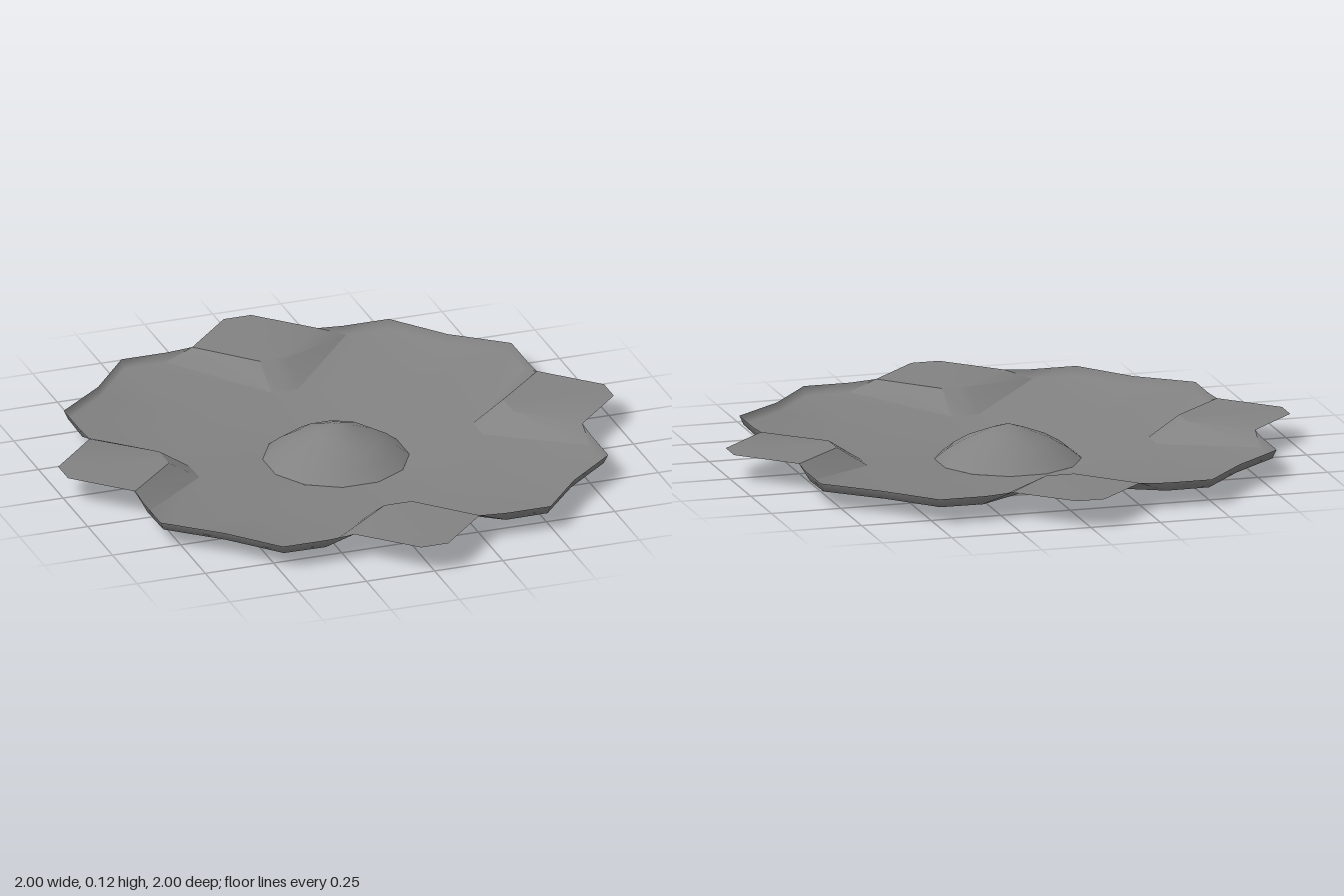
import * as THREE from 'three';
import { mergeGeometries, mergeVertices, toCreasedNormals } from 'three/addons/utils/BufferGeometryUtils.js';

const material = new THREE.MeshStandardMaterial({ color: 0x828282, side: THREE.DoubleSide });

// Key points of one eighth of the plate, from the +z axis to the diagonal
const P = {
  hub0: [0, 0, 0.245], hub1: [0.065, 0, 0.245], hub2: [0.18, 0, 0.18],
  foot0: [0, 0.025, 0.52], foot1: [0.05, 0.025, 0.52], foot2: [0.33, 0.06, 0.81],
  mid: [0.42, 0.025, 0.42],
  corner: [0.483, 0.06, 0.807], notch: [0.632, 0.058, 0.632],
  footTop: [0.325, 0.091, 0.82], cornerTop: [0.49, 0.091, 0.82], notchTop: [0.64, 0.088, 0.64],
  tab0: [0, 0.097, 0.63], tab1: [0.05, 0.097, 0.63], tab2: [0.23, 0.097, 0.82],
  tip1: [0.05, 0.097, 1], tip0: [0, 0.097, 1],
};

// Faces are listed counter-clockwise as seen from above
const dishFaces = [
  'hub0 foot0 foot1 hub1', 'hub1 foot1 mid hub2',
  'foot1 foot2 corner mid', 'mid corner notch',
];
const lipFaces = [
  'foot2 tab2 footTop', 'corner foot2 footTop cornerTop', 'notch corner cornerTop notchTop',
];
const rampFaces = ['foot0 tab0 tab1 foot1', 'foot1 tab1 tab2 foot2'];
const tabFaces = ['tab0 tip0 tip1 tab2 tab1'];

// Mirror the eighth across its axis and repeat it over four quarter turns
function sheet(faces) {
  const positions = [];
  for (let turn = 0; turn < 4; turn++) {
    const c = Math.round(Math.cos(turn * Math.PI / 2));
    const s = Math.round(Math.sin(turn * Math.PI / 2));
    for (const side of [1, -1]) {
      for (const face of faces) {
        const pts = face.split(' ').map((name) => {
          const [x, y, z] = P[name];
          return [c * x * side + s * z, y, c * z - s * x * side];
        });
        if (side < 0) pts.reverse();
        for (let i = 1; i < pts.length - 1; i++) {
          positions.push(...pts[0], ...pts[i], ...pts[i + 1]);
        }
      }
    }
  }
  const geometry = new THREE.BufferGeometry();
  geometry.setAttribute('position', new THREE.Float32BufferAttribute(positions, 3));
  return geometry;
}

// Share vertices so that the shading runs smoothly over the surface
function smooth(geometry) {
  geometry.deleteAttribute('normal');
  geometry.deleteAttribute('uv');
  const merged = mergeVertices(geometry, 1e-4);
  merged.computeVertexNormals();
  return merged;
}

function addMesh(parent, name, geometry) {
  const mesh = new THREE.Mesh(geometry, material);
  mesh.name = name;
  parent.add(mesh);
}

export function createModel() {
  const model = new THREE.Group();
  model.name = 'plate';

  // Shallow dish with a soft upturned lip, and ramps up to four flat tabs
  addMesh(model, 'dishWithTabs', mergeGeometries([
    smooth(sheet([...dishFaces, ...lipFaces])).toNonIndexed(),
    toCreasedNormals(sheet([...rampFaces, ...tabFaces]), 0.45),
  ]));

  // Twelve-sided dome in the middle
  const profile = [[0.254, 0], [0.21, 0.035], [0.15, 0.07], [0.07, 0.102], [0, 0.125]]
    .map(([r, y]) => new THREE.Vector2(r, y));
  addMesh(model, 'centreDome', smooth(new THREE.LatheGeometry(profile, 12, Math.PI / 12)));

  return model;
}
